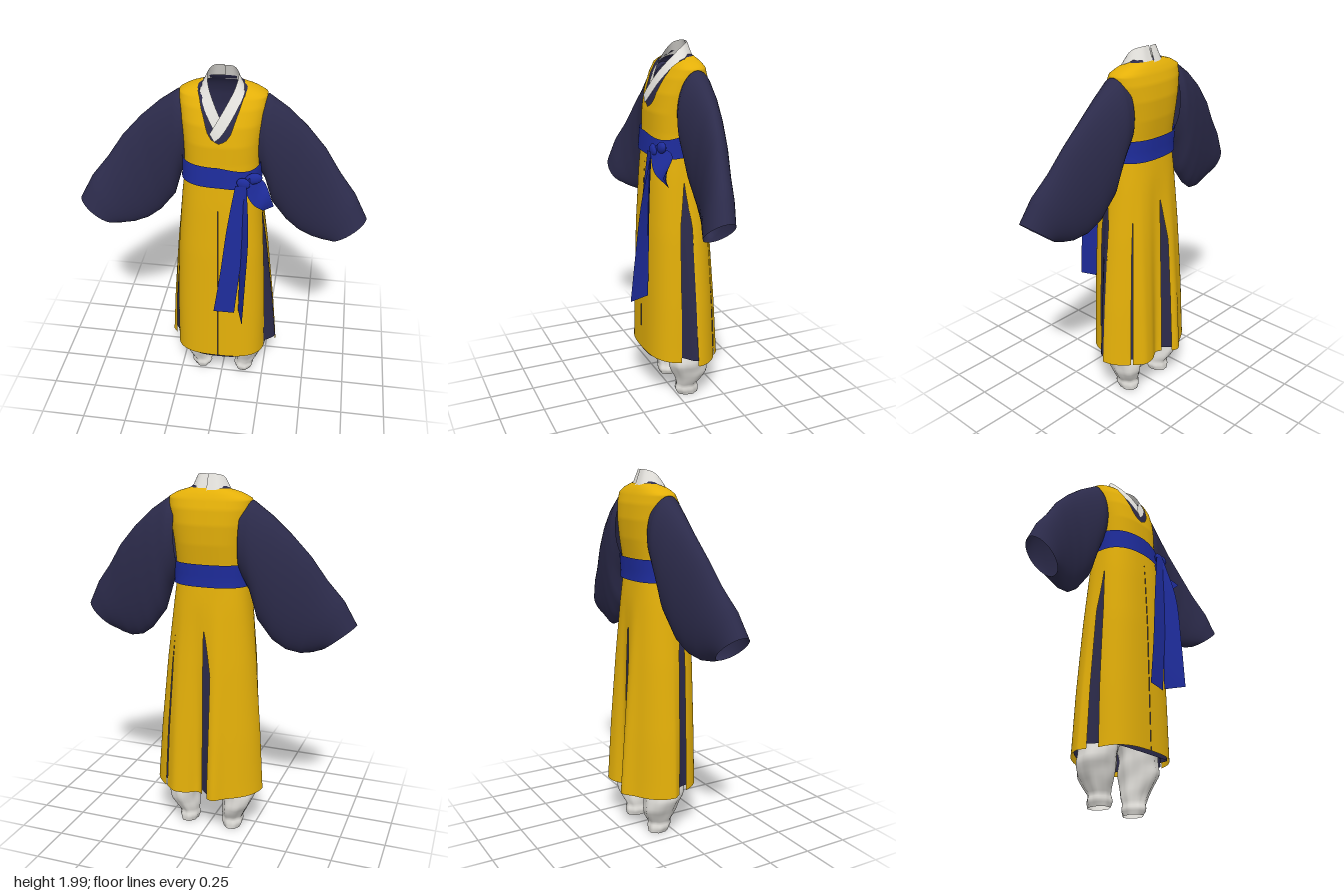
import * as THREE from 'three';

const mat = (name, color) => {
  const m = new THREE.MeshStandardMaterial({ color, side: THREE.DoubleSide });
  m.name = name;
  return m;
};
const V = (x, y, z) => new THREE.Vector3(x, y, z);
const { lerp, clamp, smoothstep } = THREE.MathUtils;
const PI = Math.PI;
const bump = (x, mid, w) => Math.exp(-(((x - mid) / w) ** 2));

// linear lookup in a table of [key, ...values]
function look(table, k) {
  if (k <= table[0][0]) return table[0].slice(1);
  for (let i = 1; i < table.length; i++) {
    const a = table[i - 1], b = table[i];
    if (k <= b[0]) return a.slice(1).map((v, j) => lerp(v, b[j + 1], (k - a[0]) / (b[0] - a[0])));
  }
  return table[table.length - 1].slice(1);
}

// body outline by height: y, half width, front z, back z
const BODY = [
  [0.25, 0.307, 0.165, -0.250], [0.6, 0.285, 0.158, -0.230], [1.0, 0.25, 0.150, -0.203],
  [1.3, 0.215, 0.136, -0.180], [1.45, 0.196, 0.125, -0.165], [1.55, 0.196, 0.118, -0.172],
  [1.65, 0.202, 0.115, -0.186], [1.75, 0.215, 0.095, -0.190], [1.83, 0.223, 0.062, -0.180],
  [1.88, 0.222, 0.03, -0.162], [1.907, 0.175, 0.005, -0.146], [1.93, 0.10, -0.03, -0.125],
];
const flare = y => clamp((1.35 - y) / 1.05, 0, 1);

// point on the body at height y; angle p runs from the front towards +x
function body(y, p, off = 0) {
  const [rx, zf, zb] = look(BODY, y);
  const s = Math.sin(p), c = Math.cos(p), t = flare(y);
  const front = smoothstep(c, -0.1, 0.22);
  const width = rx * (1 - 0.15 * t * front) * (s > 0 ? 1 + 0.06 * t * (1 - front) : 1);
  // the skirt is flat in front and rounded behind, with a deep fold down the back
  const e = lerp(0.8, lerp(1.03, 0.7, front), t), pw = v => Math.sign(v) * Math.abs(v) ** e;
  const q = Math.asin(s);
  const fold = c < 0 ? t * smoothstep(-c, 0, 0.5) *
    (0.03 * bump(q, -0.27, 0.16) - 0.05 * bump(q, 0.1, 0.17) + 0.02 * bump(q, 0.56, 0.15)) : 0;
  const r = (zf - zb) / 2 + fold + off;
  return V((width + off) * pw(s), y, (zf + zb) / 2 + r * pw(c));
}

// skin over rows of points
function loft(rows, closed = false) {
  const n = rows[0].length, pos = [], idx = [];
  rows.forEach(r => r.forEach(p => pos.push(p.x, p.y, p.z)));
  for (let i = 0; i < rows.length - 1; i++)
    for (let j = 0; j < (closed ? n : n - 1); j++) {
      const k = (j + 1) % n, a = i * n + j, b = i * n + k, c = a + n, d = b + n;
      idx.push(a, b, d, a, d, c);
    }
  const g = new THREE.BufferGeometry();
  g.setAttribute('position', new THREE.Float32BufferAttribute(pos, 3));
  g.setIndex(idx);
  g.computeVertexNormals();
  return g;
}
const grid = (nu, nv, f) => Array.from({ length: nv + 1 }, (_, j) =>
  Array.from({ length: nu + 1 }, (_, i) => f(i / nu, j / nv)));

// strip between two smooth edge curves
function ribbon(a, b, n = 20) {
  const ca = new THREE.CatmullRomCurve3(a.map(p => V(...p)));
  const cb = new THREE.CatmullRomCurve3(b.map(p => V(...p)));
  return loft(grid(n, 1, (u, v) => (v ? cb : ca).getPoint(u)));
}

export function createModel() {
  const gold = mat('gold cloth', 0xe4b009), navy = mat('navy cloth', 0x2c2b4b);
  const blue = mat('blue sash', 0x1e2c9c), white = mat('white cloth', 0xe4e2dd);
  const model = new THREE.Group();
  const add = (name, geo, material, parent = model) => {
    const m = new THREE.Mesh(geo, material);
    m.name = name;
    parent.add(m);
    return m;
  };

  // under robe: skirt bulging out of the left slit, and chest with a V opening
  add('underRobeSkirt', loft(grid(120, 24, (u, v) => {
    const p = u * 2 * PI, y = lerp(0.268 + 0.032 * Math.sin(p) ** 2, 1.45, v);
    return body(y, p, -0.012 + 0.028 * flare(y) * bump(p, 1.53, 0.11));
  })), navy);
  const innerGap = [[1.74, 0], [1.8, 0.1], [1.87, 0.3], [1.94, 1.0]];
  add('underRobeChest', loft(grid(72, 30, (u, v) => {
    const y = lerp(1.44, 1.94, v), [g] = look(innerGap, y);
    return body(y, lerp(g, 2 * PI - g, u), -0.01);
  })), navy);

  // vest top with a deep rounded neckline
  const neck = [[1.67, 0], [1.69, 0.12], [1.72, 0.2], [1.8, 0.3], [1.88, 0.42], [1.907, 0.65], [1.93, 1.5]];
  add('vestTop', loft(grid(80, 50, (u, v) => {
    const y = lerp(1.43, 1.93, v), [g] = look(neck, y);
    return body(y, lerp(g, 2 * PI - g, u));
  })), gold);

  // vest skirt panels, separated by seams and slits that widen downwards
  const edge = (mid, half, top) => y => mid + half * clamp((top - y) * 4, 0, 1);
  const panel = (name, side, a, b) => add(name, loft(grid(40, 24, (u, v) => {
    const w = side > 0 ? u : 1 - u;
    const hemP = lerp(a(0.3), b(0.3), w), hem = 0.268 + 0.018 * Math.cos(hemP);
    const y = lerp(hem, 1.45, v);
    return body(y, side * lerp(a(y), b(y), w));
  })), gold);
  const seam = y => (0.0006 + 0.0011 * clamp((y - 0.4) / 0.6, 0, 1)) * clamp((1.4 - y) * 8, 0, 1);
  panel('leftFrontPanel', 1, seam, edge(1.5, -0.12, 1.3));
  panel('leftSidePanel', 1, edge(1.5, 0.12, 1.3), edge(2.36, -0.02, 1.15));
  panel('leftBackPanel', 1, edge(2.36, 0.02, 1.15), edge(PI, -0.004, 1.2));
  panel('rightFrontPanel', -1, seam, edge(1.37, -0.05, 1.3));
  panel('rightBackPanel', -1, edge(1.37, 0.13, 1.3), edge(PI, -0.14, 1.2));

  // wide sleeves: top x, y, bottom x, y, centre z, half depth
  const cuts = [
    [0.18, 1.86, 0.17, 1.50, -0.07, 0.092], [0.23, 1.875, 0.225, 1.40, -0.065, 0.107],
    [0.33, 1.805, 0.265, 1.255, -0.067, 0.098], [0.43, 1.715, 0.345, 1.15, -0.062, 0.082],
    [0.53, 1.605, 0.415, 1.10, -0.045, 0.074], [0.615, 1.48, 0.49, 1.08, -0.02, 0.074],
    [0.70, 1.375, 0.55, 1.085, 0.005, 0.078], [0.77, 1.245, 0.59, 1.098, 0.025, 0.075],
  ];
  for (const s of [1, -1]) {
    const rows = grid(35, 28, (u, v) => {
      const [tx, ty, bx, by, z, h] = look(cuts.map((c, i) => [i / 7, ...c]), v);
      const a = s * u * 2 * PI * 35 / 36, c = Math.cos(a), w = (c + 1) / 2;
      return V(s * lerp(bx, tx, w), lerp(by, ty, w), z + h * Math.sin(a));
    });
    add(s > 0 ? 'leftSleeve' : 'rightSleeve', loft(rows, true), navy);
  }

  // crossed white collar, the left side lying on top
  const outer = [[0, 1.915, -0.132], [0.065, 1.915, -0.122], [0.108, 1.915, -0.065], [0.108, 1.89, 0.0],
    [0.068, 1.805, 0.07], [0.012, 1.715, 0.11], [-0.02, 1.685, 0.117]];
  const inner = [[0, 2.0, -0.1], [0.045, 2.0, -0.095], [0.075, 1.985, -0.06], [0.07, 1.935, -0.005],
    [0.027, 1.85, 0.06], [-0.022, 1.765, 0.1], [-0.045, 1.725, 0.112]];
  for (const s of [1, -1]) {
    const side = pts => pts.slice(0, s > 0 ? 7 : 6).map(([x, y, z]) => [s * x, y, z + (s > 0 ? 0.004 : -0.004)]);
    add(s > 0 ? 'leftCollar' : 'rightCollar', ribbon(side(outer), side(inner), 32), white);
  }

  // sash round the waist, dipping towards the knot
  add('sash', loft(grid(72, 4, (u, v) => {
    const p = u * 2 * PI, c = Math.max(0, Math.cos(p)), dip = c * Math.max(0, Math.sin(p)) * 0.05;
    const q = body(lerp(1.43, 1.55, v), p, 0.012);
    q.y -= dip * (0.4 + 0.6 * v) + 0.006 * v * c;
    return q;
  })), blue);

  // bow
  const bow = new THREE.Group();
  bow.name = 'bow';
  model.add(bow);
  const blob = (name, p, r, tilt) => {
    const m = add(name, new THREE.SphereGeometry(1, 16, 10), blue, bow);
    m.position.set(...p);
    m.scale.set(...r);
    m.rotation.z = tilt;
  };
  blob('knot', [0.13, 1.468, 0.135], [0.036, 0.03, 0.016], -0.4);
  blob('bowLoop', [0.18, 1.487, 0.11], [0.045, 0.03, 0.02], 0.3);
  add('shortTail', ribbon([[0.16, 1.5, 0.13], [0.225, 1.455, 0.07], [0.29, 1.355, 0.148]],
    [[0.13, 1.45, 0.15], [0.18, 1.36, 0.15], [0.23, 1.285, 0.09]]), blue, bow);
  add('longTail', ribbon([[0.09, 1.46, 0.15], [0.05, 1.2, 0.165], [0.015, 0.9, 0.178], [-0.02, 0.645, 0.185]],
    [[0.15, 1.46, 0.155], [0.145, 1.2, 0.165], [0.12, 0.9, 0.17], [0.095, 0.635, 0.172]]), blue, bow);
  add('foldedTail', ribbon([[0.12, 1.46, 0.14], [0.125, 1.2, 0.155], [0.12, 0.9, 0.16], [0.117, 0.65, 0.165]],
    [[0.15, 1.45, 0.155], [0.17, 1.2, 0.22], [0.162, 0.9, 0.255], [0.152, 0.645, 0.28]]), blue, bow);

  // baggy trousers gathered at the ankle: y, centre x, centre z, half width, half depth
  const leg = [
    [0.008, 0.13, -0.07, 0.048, 0.058], [0.04, 0.13, -0.065, 0.06, 0.068], [0.07, 0.132, -0.065, 0.054, 0.064],
    [0.11, 0.142, -0.07, 0.066, 0.08], [0.16, 0.155, -0.07, 0.08, 0.098], [0.23, 0.163, -0.06, 0.094, 0.115],
    [0.32, 0.157, -0.055, 0.092, 0.115], [0.6, 0.12, -0.045, 0.1, 0.11], [0.95, 0.09, -0.03, 0.085, 0.1],
  ];
  for (const s of [1, -1]) {
    const rows = grid(31, 44, (u, v) => {
      const y = lerp(0.008, 0.95, v ** 1.6), [cx, cz, rx, rz] = look(leg, y), a = u * 2 * PI * 31 / 32;
      const crease = 1 + 0.08 * Math.sin(3 * a + 24 * y) * Math.sin(5 * a - 14 * y + s);
      return V(s * cx + rx * crease * Math.sin(a), y, cz + rz * crease * Math.cos(a));
    });
    add(s > 0 ? 'leftTrouserLeg' : 'rightTrouserLeg', loft(rows, true), white);
  }
  // seat of the trousers, closing to the crotch
  add('trouserSeat', loft(grid(48, 10, (u, v) => {
    const q = body(lerp(0.82, 1.3, v), u * 2 * PI, -0.04), k = Math.min(1, Math.sqrt(v * 3));
    return V(q.x * k, q.y, lerp(-0.03, q.z, k));
  })), white);
  return model;
}
